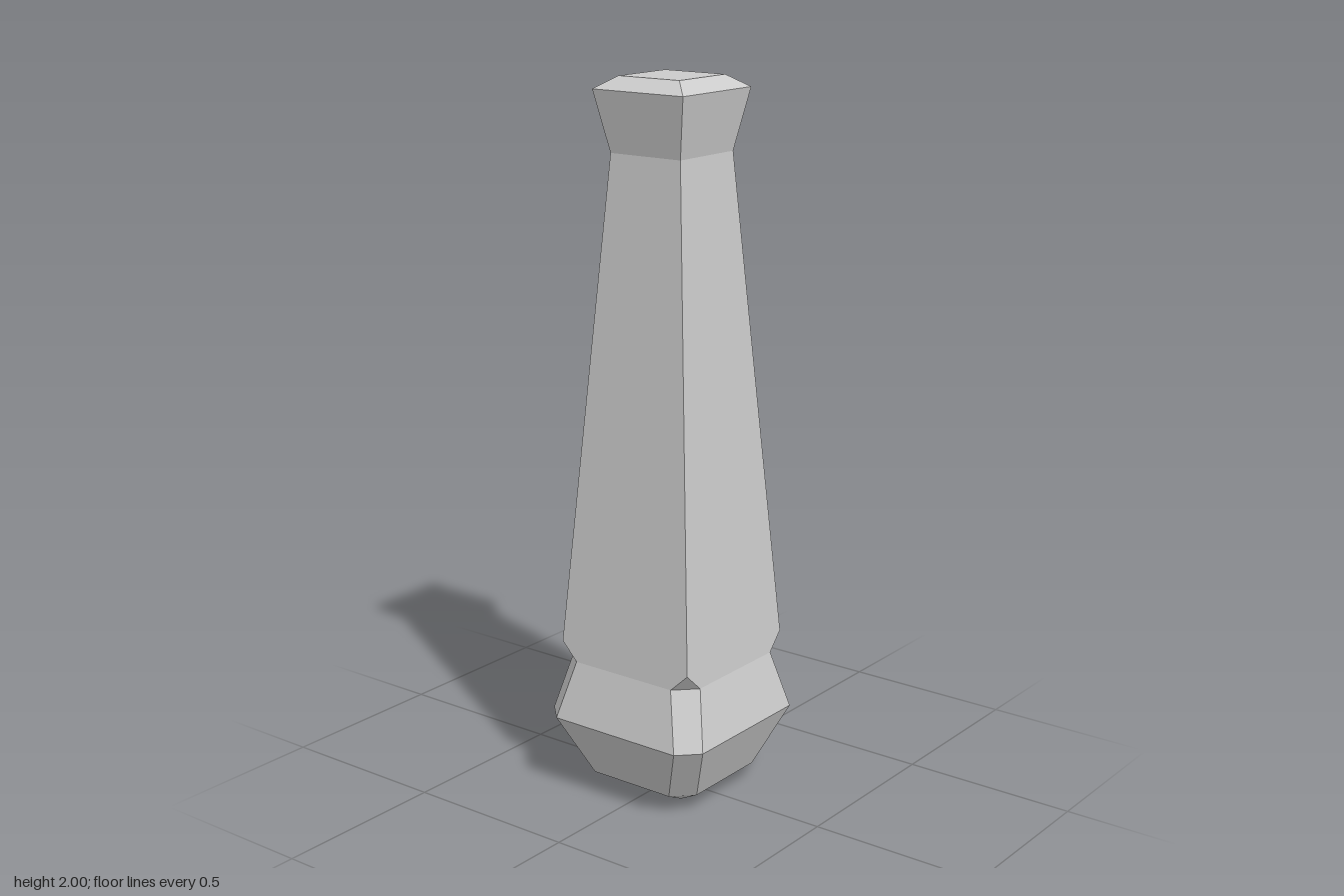
import * as THREE from 'three';

// Square ring with cut corners: half width a, cut starting at b (a === b gives a plain square)
const ring = ([y, a, b = a]) => [
  [a, b], [b, a], [-b, a], [-a, b], [-a, -b], [-b, -a], [b, -a], [a, -b],
].map(([x, z]) => new THREE.Vector3(x, y, z));

// Joins a stack of rings, listed from the bottom up, into a faceted solid
function loft(name, sections, material, { bottom = false, top = false } = {}) {
  const rings = sections.map(ring);
  const points = [];
  const tri = (a, b, c) => {
    if (new THREE.Triangle(a, b, c).getArea() > 1e-7) points.push(a, b, c);
  };
  for (let r = 0; r < rings.length - 1; r++) {
    const p = rings[r], q = rings[r + 1];
    for (let i = 0; i < 8; i++) {
      const j = (i + 1) % 8;
      tri(p[i], q[i], q[j]);
      tri(p[i], q[j], p[j]);
    }
  }
  const first = rings[0], last = rings[rings.length - 1];
  for (let i = 1; i < 7; i++) {
    if (bottom) tri(first[0], first[i], first[i + 1]);
    if (top) tri(last[0], last[i + 1], last[i]);
  }
  const geometry = new THREE.BufferGeometry().setFromPoints(points);
  geometry.computeVertexNormals();
  const mesh = new THREE.Mesh(geometry, material);
  mesh.name = name;
  return mesh;
}

export function createModel() {
  const material = new THREE.MeshStandardMaterial({ color: 0xcccccc, flatShading: true });
  const group = new THREE.Group();
  group.name = 'taperedPost';

  // Bulging foot, its corner cuts closing to points below
  group.add(loft('foot', [
    [0, 0.08],
    [0.028, 0.135],
    [0.053, 0.187, 0.132],
    [0.225, 0.263, 0.207],
    [0.39, 0.222, 0.165],
  ], material, { bottom: true }));

  // Long tapering shaft, its corner cuts closing to points just above the foot
  group.add(loft('shaft', [
    [0.39, 0.222, 0.165],
    [0.44, 0.218],
    [1.8, 0.115],
  ], material));

  // Flared head with a bevelled top
  group.add(loft('head', [
    [1.8, 0.115],
    [1.967, 0.148],
    [2, 0.099],
  ], material, { top: true }));

  return group;
}
